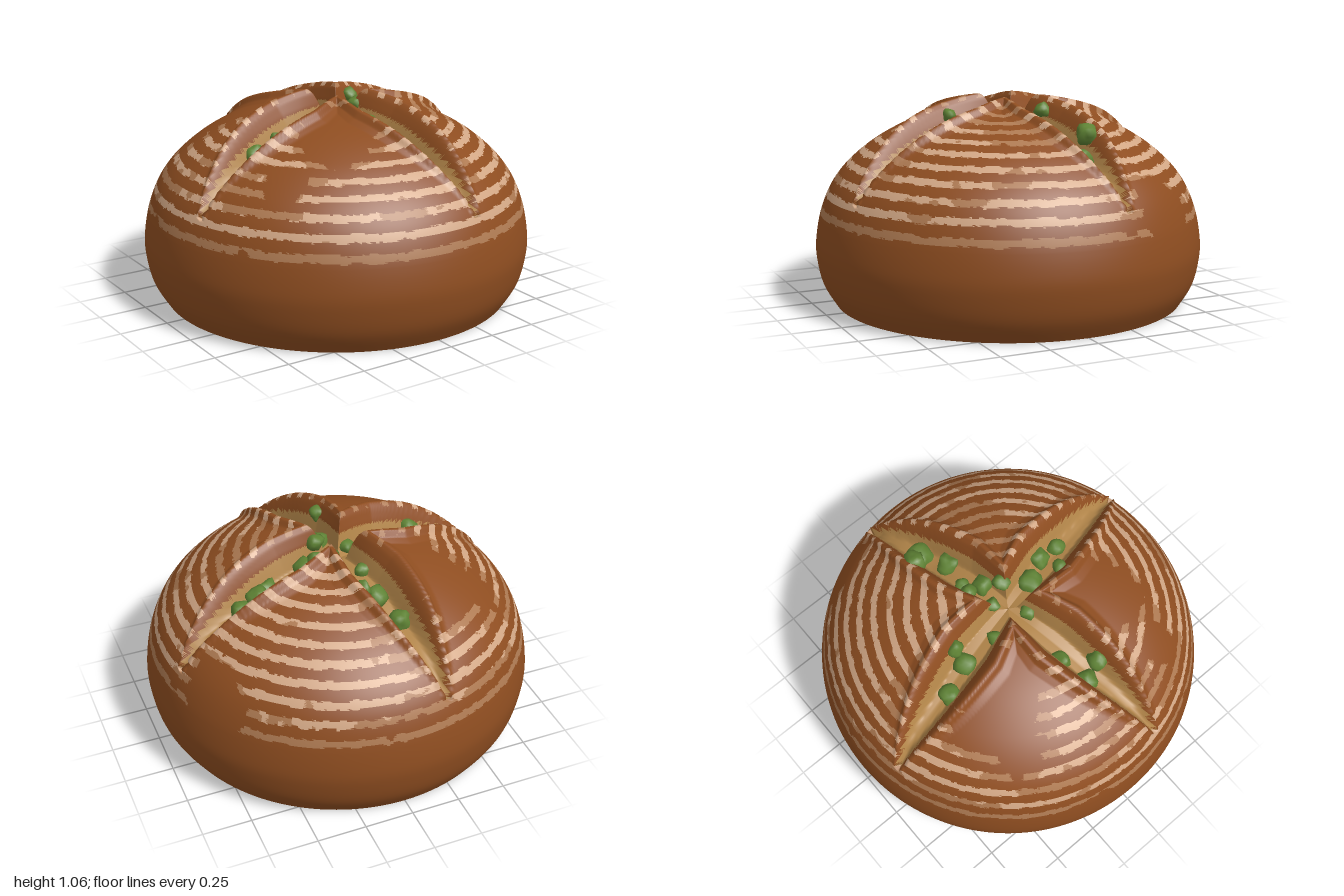
import * as THREE from 'three';
import { mergeVertices } from 'three/addons/utils/BufferGeometryUtils.js';

const V2 = (x, y) => new THREE.Vector2(x, y);
// Side profile of the loaf, from the crown down to the open base
const profile = new THREE.SplineCurve([
  V2(0.004, 1.03), V2(0.2, 1.018), V2(0.45, 0.955), V2(0.66, 0.855), V2(0.812, 0.74), V2(0.91, 0.622),
  V2(0.971, 0.48), V2(0.999, 0.33), V2(0.996, 0.23), V2(0.968, 0.11), V2(0.905, 0.003)]);
profile.arcLengthDivisions = 600;
const LENGTH = profile.getLength();

// Smooth value noise, used for the broken edges of the flour rings
function hash(x, y, z) {
  const s = Math.sin(x * 127.1 + y * 311.7 + z * 74.7) * 43758.5453;
  return s - Math.floor(s);
}
function noise(x, y, z) {
  const i = [x, y, z].map(Math.floor);
  const f = [x - i[0], y - i[1], z - i[2]].map((t) => t * t * (3 - 2 * t));
  let sum = 0;
  for (let k = 0; k < 8; k++) {
    const a = k & 1, b = (k >> 1) & 1, c = k >> 2;
    sum += hash(i[0] + a, i[1] + b, i[2] + c)
      * (a ? f[0] : 1 - f[0]) * (b ? f[1] : 1 - f[1]) * (c ? f[2] : 1 - f[2]);
  }
  return sum;
}

// Distance to the nearest of four slashes: 0 on its middle line, 1 on the crest of its lip
const ARMS = [0, 1, 2, 3].map((k) => -0.228 + k * Math.PI / 2);
function slash(x, z) {
  let best = 9;
  for (const a of ARMS) {
    const along = x * Math.cos(a) + z * Math.sin(a);
    const across = Math.abs(z * Math.cos(a) - x * Math.sin(a));
    if (along < -0.03 || along > 0.93) continue;
    const r = Math.max(along, 0);
    const width = 0.148 * (0.52 + 0.48 * Math.min(1, r / 0.3)) * (1 - Math.pow(r / 0.935, 3.2)) + 0.008;
    best = Math.min(best, across / width);
  }
  return best;
}

// Cross-section of a slash: floor, steep wall, raised lip, back to the dome
const SECTION = [[0, -0.15], [0.4, -0.14], [0.62, -0.04], [0.78, 0.015], [0.92, 0.042], [1.05, 0.043], [1.22, 0.013], [1.5, 0]];
function lift(u) {
  for (let i = 1; i < SECTION.length; i++) {
    const [u0, h0] = SECTION[i - 1], [u1, h1] = SECTION[i];
    if (u < u1) return h0 + (h1 - h0) * (u - u0) / (u1 - u0);
  }
  return 0;
}

// Point on the loaf at profile position t and angle a
function loafPoint(t, a) {
  const p = profile.getPointAt(t);
  const x = p.x * Math.cos(a), z = p.x * Math.sin(a);
  const u = p.y > 0.45 ? slash(x, z) : 9;
  const d = profile.getTangentAt(t);
  const h = lift(u) * (1 - 0.75 * THREE.MathUtils.smoothstep(p.x, 0.5, 0.92));
  const r = p.x - d.y * h;
  return { pos: [r * Math.cos(a), p.y + d.x * h, r * Math.sin(a)], u, x, z, y: p.y };
}

// Patches that the flour has mostly missed: x, y, z, radius
const BARE = [[-0.42, 0.9, -0.42, 0.36], [-0.25, 0.92, 0.42, 0.26], [0.86, 0.6, -0.49, 0.22], [-0.62, 0.8, 0.5, 0.13]];

// Material index: 0 crust, 1 bright flour, 2 thin flour, 3 crumb
function paint(v, s) {
  if (v.u < 0.6) return 3;
  if (v.u < 0.82 || v.y < 0.46) return 0;
  const { x, y, z } = v;
  const wobble = (noise(x * 22, y * 22, z * 22) - 0.5) * 0.014 + (noise(x * 55, y * 55, z * 55) - 0.5) * 0.012;
  const ring = (s + wobble) / 0.095;
  const off = Math.abs(ring - Math.round(ring)) * 0.095;
  let strength = 0.43 + 0.75 * noise(x * 4 + 7, y * 9, z * 4 + 3) + 0.35 * (noise(x * 18, y * 18, z * 18) - 0.5);
  for (const [bx, by, bz, r] of BARE) {
    strength -= 0.72 * Math.max(0, 1 - Math.pow(Math.hypot(x - bx, y - by, z - bz) / r, 3));
  }
  if (v.u < 1.2) strength += 0.12; // the raised lips catch more flour
  if (y < 0.53 || y > 0.96) strength -= 0.12;
  if (off > 0.0195 || strength < 0.46) return 0;
  return strength > 0.68 && y > 0.53 ? 1 : 2;
}

function material(name, color, side = THREE.FrontSide) {
  const m = new THREE.MeshStandardMaterial({ color, side });
  m.name = name;
  return m;
}

// Rounded, slightly irregular chunk
function chunk(r, seed) {
  const raw = new THREE.IcosahedronGeometry(r, 2);
  raw.deleteAttribute('normal');
  raw.deleteAttribute('uv');
  const shape = mergeVertices(raw);
  const p = shape.attributes.position;
  const v = new THREE.Vector3();
  for (let i = 0; i < p.count; i++) {
    v.fromBufferAttribute(p, i).divideScalar(r);
    const boxy = Math.pow(v.x ** 4 + v.y ** 4 + v.z ** 4, -0.25);
    const f = r * (0.72 + 0.4 * noise(v.x * 1.6 + seed * 3.7, v.y * 1.6 + 9, v.z * 1.6 + 5)) * boxy;
    p.setXYZ(i, v.x * f, v.y * f, v.z * f);
  }
  shape.computeVertexNormals();
  return shape;
}

export function createModel() {
  const group = new THREE.Group();
  group.name = 'slashedLoaf';
  const skins = [
    material('crust', 0x8e4d20, THREE.DoubleSide), material('flour', 0xd2a785, THREE.DoubleSide),
    material('thinFlour', 0xae7a52, THREE.DoubleSide), material('crumb', 0xb28549, THREE.DoubleSide)];
  const green = material('olive', 0x5e8234);

  // Loaf: one revolved skin, fine on top and coarse below, coloured face by face
  const N = 360, UPPER = 165, LOWER = 18;
  let tSplit = 0;
  while (profile.getPointAt(tSplit).y > 0.44) tSplit += 0.002;
  let tRing = 0;
  while (profile.getPointAt(tRing).y > 0.49) tRing += 0.001;
  const rows = [];
  for (let i = 0; i <= UPPER; i++) rows.push(tSplit * i / UPPER);
  for (let i = 1; i <= LOWER; i++) rows.push(tSplit + (1 - tSplit) * i / LOWER);
  const points = [], position = [], faces = [[], [], [], []];
  for (const t of rows) {
    for (let j = 0; j < N; j++) {
      const v = loafPoint(t, j / N * Math.PI * 2);
      points.push(v);
      position.push(...v.pos);
    }
  }
  const addFace = (i, a, b, c) => {
    const [p, q, r] = [points[a], points[b], points[c]];
    const mid = (k) => (p[k] + q[k] + r[k]) / 3;
    const s = (rows[i] + rows[i + 1]) / 2 - tRing;
    faces[paint({ u: mid('u'), x: mid('x'), y: mid('y'), z: mid('z') }, s * LENGTH)].push(a, b, c);
  };
  for (let i = 0; i < rows.length - 1; i++) {
    for (let j = 0; j < N; j++) {
      const a = i * N + j, c = i * N + (j + 1) % N, b = a + N, d = c + N;
      addFace(i, a, c, b);
      addFace(i, c, d, b);
    }
  }
  const geo = new THREE.BufferGeometry();
  geo.setAttribute('position', new THREE.Float32BufferAttribute(position, 3));
  geo.setIndex(faces.flat());
  let start = 0;
  faces.forEach((f, k) => {
    geo.addGroup(start, f.length, k);
    start += f.length;
  });
  geo.computeVertexNormals();
  const loaf = new THREE.Mesh(geo, skins);
  loaf.name = 'loaf';
  group.add(loaf);

  // Chopped olive pieces resting in the slashes: x, z, radius
  const PIECES = [
    [-0.13, -0.49, 0.056], [-0.07, -0.34, 0.058], [0, -0.34, 0.04], [-0.08, -0.15, 0.038], [0.05, -0.06, 0.034],
    [0.18, -0.02, 0.048], [0.16, -0.12, 0.038], [0.25, -0.09, 0.038], [0.4, -0.06, 0.054], [0.54, -0.13, 0.064],
    [0.49, -0.2, 0.052], [0.1, 0.04, 0.042], [0.04, 0.18, 0.058], [0.12, 0.3, 0.05], [0.12, 0.42, 0.046],
    [-0.02, 0.32, 0.035], [-0.08, 0.06, 0.038], [-0.37, 0.03, 0.044], [-0.52, 0.07, 0.052], [-0.48, 0.175, 0.05]];
  PIECES.forEach(([x, z, r], k) => {
    const angle = Math.atan2(z, x);
    let t = 0, spot = loafPoint(0, angle).pos;
    while (Math.hypot(spot[0], spot[2]) < Math.hypot(x, z)) {
      t += 0.003;
      spot = loafPoint(t, angle).pos;
    }
    const olive = new THREE.Mesh(chunk(r, k), green);
    olive.name = 'olivePiece';
    olive.position.set(x, spot[1] + 0.008, z);
    olive.rotation.set(k * 0.4, k * 2.1, k * 0.7);
    group.add(olive);
  });
  return group;
}
